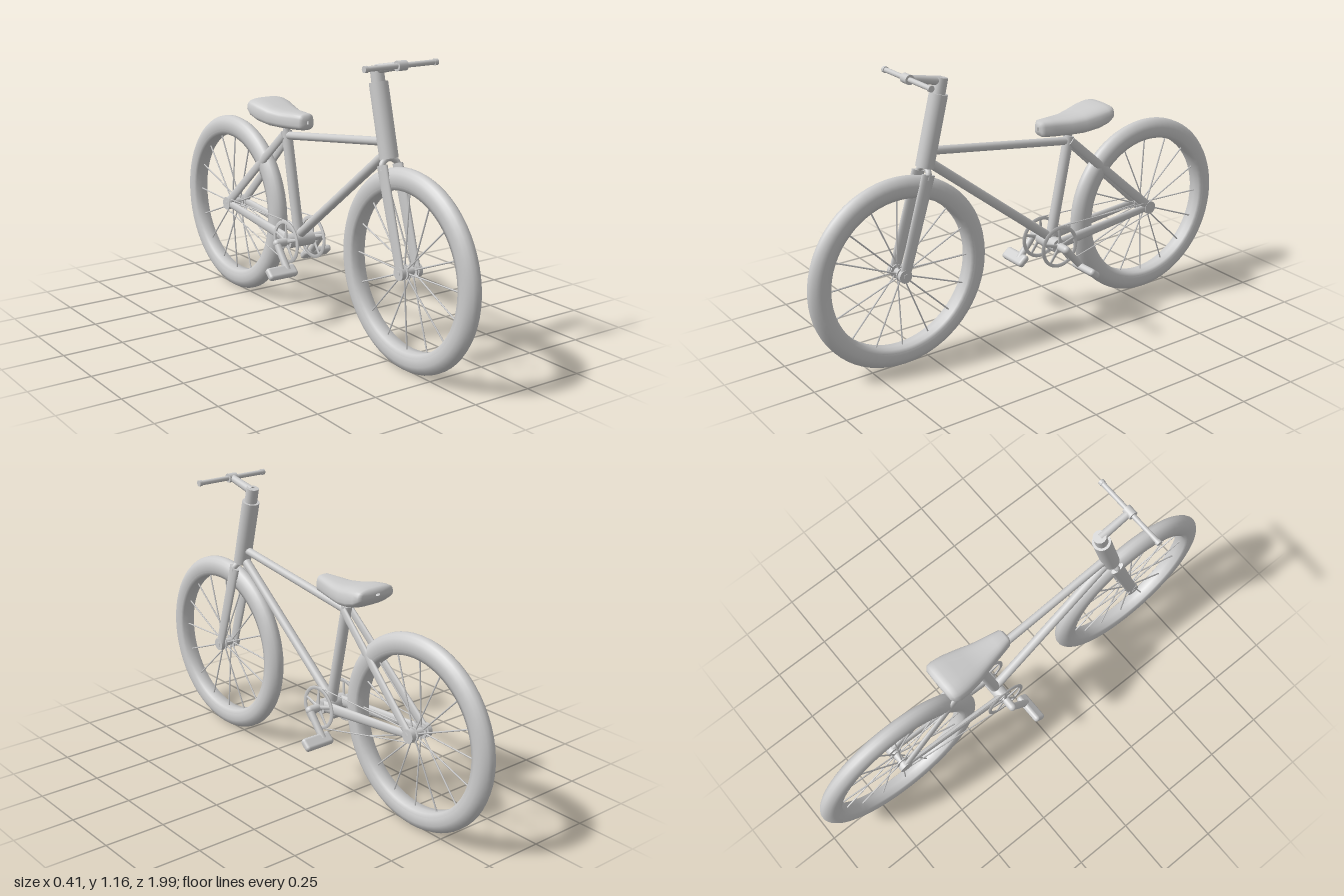
import * as THREE from 'three';
import { RoundedBoxGeometry } from 'three/addons/geometries/RoundedBoxGeometry.js';

const mat = new THREE.MeshStandardMaterial({ color: 0xcccccc, side: THREE.DoubleSide });
const V = (x, y, z) => new THREE.Vector3(x, y, z);

function add(parent, name, geometry) {
  const mesh = new THREE.Mesh(geometry, mat);
  mesh.name = name;
  parent.add(mesh);
  return mesh;
}

// Tapered bar from a to b; flat squeezes it along x
function bar(parent, name, a, b, ra, rb = ra, flat = 1, sides = 20) {
  const dir = b.clone().sub(a);
  const mesh = add(parent, name, new THREE.CylinderGeometry(rb, ra, dir.length(), sides));
  const y = dir.clone().normalize();
  const ref = Math.abs(y.x) > 0.9 ? V(0, 1, 0) : V(1, 0, 0);
  const x = ref.addScaledVector(y, -ref.dot(y)).normalize();
  mesh.quaternion.setFromRotationMatrix(new THREE.Matrix4().makeBasis(x, y, x.clone().cross(y)));
  mesh.scale.x = flat;
  mesh.position.copy(a).add(b).multiplyScalar(0.5);
  return mesh;
}

// Ring or disc turned around the x axis from [radius, x] points
function turned(parent, name, pts, segs = 64) {
  const mesh = add(parent, name, new THREE.LatheGeometry(pts.map(p => new THREE.Vector2(...p)), segs));
  mesh.rotation.z = -Math.PI / 2;
  return mesh;
}

function makeWheel(name, z) {
  const wheel = new THREE.Group();
  wheel.name = name;
  turned(wheel, 'tyre', [[0.318, -0.03], [0.33, -0.035], [0.352, -0.036], [0.368, -0.029], [0.38, -0.019], [0.387, -0.007],
    [0.387, 0.007], [0.38, 0.019], [0.368, 0.029], [0.352, 0.036], [0.33, 0.035], [0.318, 0.03]]);
  turned(wheel, 'rim', [[0.322, -0.032], [0.306, -0.028], [0.304, 0], [0.306, 0.028], [0.322, 0.032]]);
  bar(wheel, 'hub', V(-0.03, 0, 0), V(0.03, 0, 0), 0.016);
  bar(wheel, 'axle', V(-0.05, 0, 0), V(0.05, 0, 0), 0.01);
  for (const s of [-1, 1]) bar(wheel, 'hubFlange', V(s * 0.018, 0, 0), V(s * 0.024, 0, 0), 0.028);
  for (let i = 0; i < 16; i++) {
    const a = i * Math.PI / 8, side = i % 2 ? 0.018 : -0.018;
    bar(wheel, 'spoke', V(side, Math.sin(a) * 0.02, Math.cos(a) * 0.02),
      V(0, Math.sin(a) * 0.31, Math.cos(a) * 0.31), 0.0032, 0.0032, 1, 6);
  }
  wheel.position.set(0, 0.393, z);
  return wheel;
}

// Saddle lofted from rounded sections: [z, half width, bottom, top]
function saddleGeometry() {
  const sections = [[-0.042, 0.004, 0.835, 0.85], [-0.044, 0.024, 0.818, 0.868], [-0.055, 0.036, 0.81, 0.877],
    [-0.1, 0.046, 0.806, 0.877], [-0.17, 0.062, 0.802, 0.876], [-0.23, 0.079, 0.802, 0.884],
    [-0.29, 0.091, 0.81, 0.898], [-0.335, 0.094, 0.825, 0.903], [-0.358, 0.089, 0.842, 0.902],
    [-0.37, 0.074, 0.858, 0.895], [-0.373, 0.01, 0.87, 0.88]];
  const n = 28, pos = [], idx = [];
  const pw = v => Math.sign(v) * Math.abs(v) ** 0.65;
  for (const [z, w, y0, y1] of sections) {
    for (let i = 0; i < n; i++) {
      const a = i / n * Math.PI * 2, c = pw(Math.cos(a)), s = pw(Math.sin(a));
      pos.push(w * c * (1 - 0.06 * s), (y0 + y1) / 2 + (y1 - y0) / 2 * s, z);
    }
  }
  for (let j = 0; j < sections.length - 1; j++) {
    for (let i = 0; i < n; i++) {
      const a = j * n + i, b = j * n + (i + 1) % n;
      idx.push(a, a + n, b, b, a + n, b + n);
    }
  }
  const g = new THREE.BufferGeometry();
  g.setAttribute('position', new THREE.Float32BufferAttribute(pos, 3));
  g.setIndex(idx);
  g.computeVertexNormals();
  return g;
}

export function createModel() {
  const bike = new THREE.Group();
  bike.name = 'bicycle';
  bike.add(makeWheel('frontWheel', 0.613), makeWheel('rearWheel', -0.607));

  // Frame
  const bb = V(0, 0.342, -0.105), seatTop = V(0, 0.785, -0.197);
  const headLow = V(0, 0.795, 0.488), headHigh = V(0, 1.07, 0.418);
  bar(bike, 'headTube', headLow, headHigh, 0.036, 0.036, 1, 32);
  bar(bike, 'topTube', V(0, 0.855, 0.465), V(0, 0.765, -0.192), 0.0165);
  bar(bike, 'downTube', V(0, 0.815, 0.475), V(0, 0.355, -0.115), 0.019);
  bar(bike, 'seatTube', bb, seatTop, 0.022);
  bar(bike, 'seatPost', V(0, 0.77, -0.194), V(0, 0.84, -0.2), 0.015);
  bar(bike, 'bottomBracket', V(-0.06, 0.342, -0.105), V(0.06, 0.342, -0.105), 0.03);
  add(bike, 'saddle', saddleGeometry());

  // Fork crown arching over the tyre
  const crown = new THREE.CatmullRomCurve3([V(-0.038, 0.755, 0.5), V(-0.034, 0.78, 0.492),
    V(0, 0.797, 0.487), V(0.034, 0.78, 0.492), V(0.038, 0.755, 0.5)]);
  add(bike, 'forkCrown', new THREE.TubeGeometry(crown, 24, 0.012, 12));

  // Stem and handlebar
  const elbow = V(0, 1.117, 0.408), grip = V(0, 1.147, 0.548);
  bar(bike, 'steerer', headHigh, V(0, 1.13, 0.404), 0.026);
  bar(bike, 'stem', elbow, grip, 0.018, 0.015);
  bar(bike, 'handlebar', V(-0.165, 1.147, 0.55), V(0.165, 1.147, 0.55), 0.01);
  bar(bike, 'barClamp', V(-0.02, 1.147, 0.55), V(0.02, 1.147, 0.55), 0.019);

  for (const s of [-1, 1]) {
    bar(bike, 'barEnd', V(s * 0.152, 1.147, 0.55), V(s * 0.166, 1.147, 0.55), 0.0125);
    bar(bike, 'forkBlade', V(s * 0.038, 0.39, 0.613), V(s * 0.036, 0.775, 0.494), 0.024, 0.029, 0.42);
    bar(bike, 'forkDropout', V(s * 0.03, 0.393, 0.613), V(s * 0.048, 0.393, 0.613), 0.027);
    bar(bike, 'seatStay', V(s * 0.043, 0.395, -0.607), V(s * 0.018, 0.768, -0.195), 0.02, 0.018, 0.5);
    bar(bike, 'chainStay', V(s * 0.041, 0.395, -0.607), V(s * 0.046, 0.345, -0.11), 0.016, 0.024, 0.55);
    bar(bike, 'rearDropout', V(s * 0.032, 0.393, -0.607), V(s * 0.052, 0.393, -0.607), 0.028);

    // Chainring with five arms
    const ring = new THREE.Group();
    ring.name = 'chainring';
    turned(ring, 'chainringRim', [[0.076, -0.003], [0.09, -0.003], [0.09, 0.003], [0.076, 0.003], [0.076, -0.003]], 48);
    for (let i = 0; i < 5; i++) {
      const a = Math.PI / 2 + i * Math.PI * 2 / 5;
      bar(ring, 'chainringArm', V(0, 0, 0), V(0, Math.sin(a) * 0.08, Math.cos(a) * 0.08), 0.009, 0.006, 0.5, 10);
    }
    ring.position.set(s * 0.066, 0.342, -0.105);
    bike.add(ring);

    // Chain running back to the sprocket
    for (const d of [-1, 1]) {
      bar(bike, 'chainRun', V(s * 0.066, 0.342 + d * 0.089, -0.105),
        V(s * 0.048, 0.393 + d * 0.025, -0.607), 0.0025, 0.0025, 1, 6);
    }

    // Crank and pedal
    const pz = s < 0 ? -0.028 : -0.187, top = V(s * 0.11, 0.342, -0.105), low = V(s * 0.11, 0.247, pz);
    bar(bike, 'crankAxle', V(s * 0.04, 0.342, -0.105), top, 0.017);
    add(bike, 'crankElbow', new THREE.SphereGeometry(0.017, 20, 14)).position.copy(top);
    bar(bike, 'crankArm', top, low, 0.015);
    const pedal = add(bike, 'pedal', new RoundedBoxGeometry(0.135, 0.03, 0.055, 4, 0.013));
    pedal.position.set(s * 0.138, 0.244, pz);
    pedal.rotation.x = -s * 0.7;
  }
  return bike;
}
